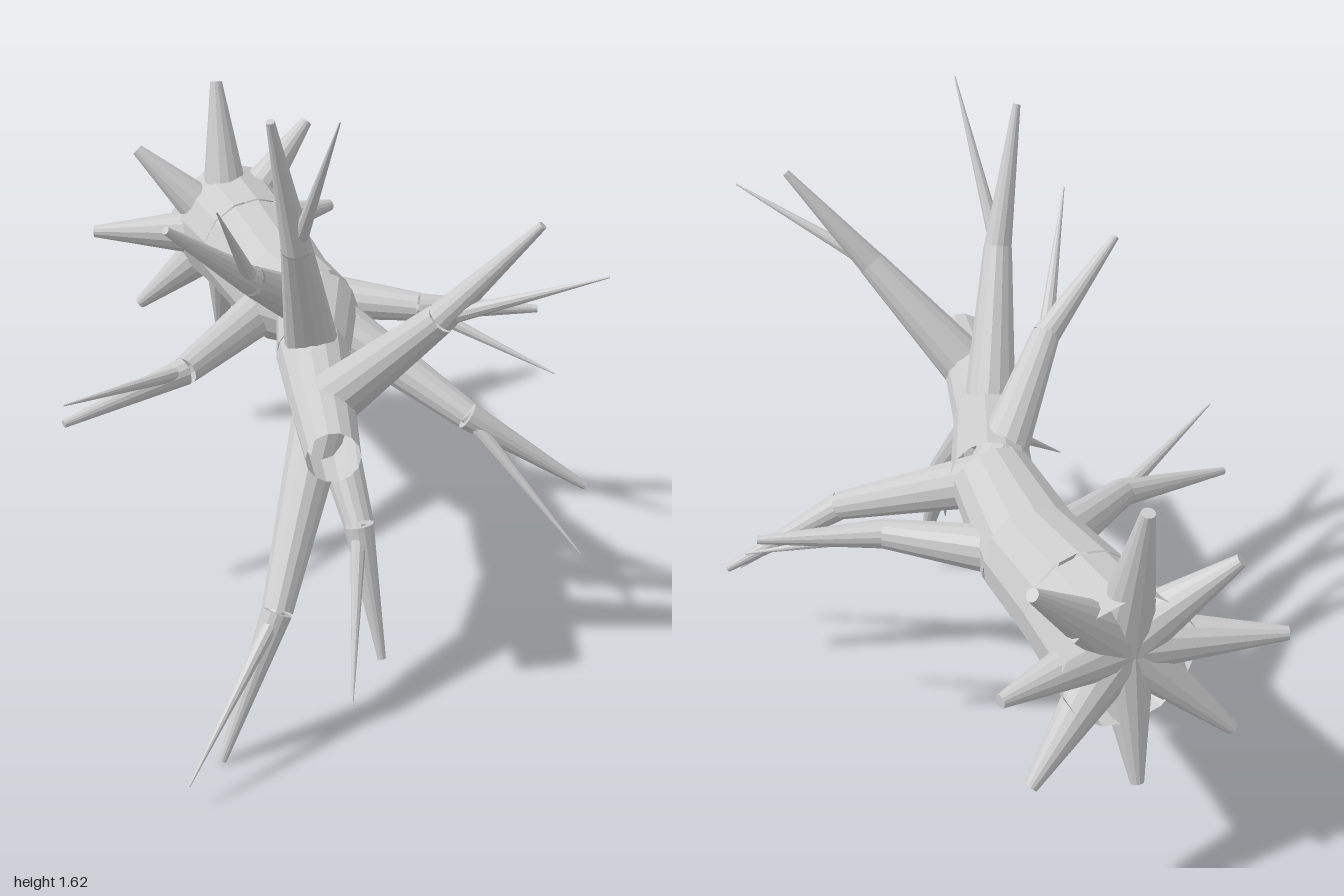
import * as THREE from 'three';

const V = (p) => new THREE.Vector3(...p);

export function createModel() {
  const group = new THREE.Group();
  const bark = new THREE.MeshStandardMaterial({ color: 0xcccccc, flatShading: true, side: THREE.DoubleSide });
  bark.name = 'pale grey bark';

  // straight tapered piece between two points
  function limb(name, a, b, r0, r1, sides, open) {
    const from = V(a), to = V(b);
    const dir = to.clone().sub(from);
    const mesh = new THREE.Mesh(new THREE.CylinderGeometry(r1, r0, dir.length(), sides, 1, open), bark);
    mesh.position.copy(from).add(to).multiplyScalar(0.5);
    mesh.quaternion.setFromUnitVectors(new THREE.Vector3(0, 1, 0), dir.normalize());
    mesh.name = name;
    group.add(mesh);
  }

  // trunk: hollow straight segments that crack open at the bends
  const trunk = [
    [0.02, 0.73, -0.955, 0.187],
    [0.037, 0.73, -0.7, 0.165],
    [0.053, 0.71, -0.41, 0.149],
    [0.06, 0.78, -0.12, 0.115],
    [-0.04, 0.78, 0.17, 0.1],
    [-0.1, 0.77, 0.45, 0.085],
    [-0.153, 0.76, 0.71, 0.07],
  ];
  for (let i = 0; i < trunk.length - 1; i++) {
    const [a, b] = [trunk[i], trunk[i + 1]];
    limb('trunkSegment', a.slice(0, 3), b.slice(0, 3), a[3], b[3], 14, true);
  }

  // branches: trunk joint, fork, thick tip, thin tip
  const branches = [
    [2, [-0.33, 0.64, -0.115], [-0.695, 0.575, -0.02], [-0.72, 0.71, 0.135]],
    [2, [0.39, 0.715, -0.18], [0.715, 0.71, -0.08], [0.715, 0.57, 0.07]],
    [3, [-0.21, 1.02, 0.17], [-0.463, 1.235, 0.275], [-0.37, 1.335, 0.435]],
    [3, [0.39, 0.56, 0.225], [0.705, 0.347, 0.338], [0.63, 0.23, 0.495]],
    [4, [-0.155, 1.2, 0.4], [-0.25, 1.58, 0.5], [-0.125, 1.62, 0.66]],
    [4, [-0.015, 0.43, 0.5], [0.015, 0.08, 0.615], [-0.12, 0.065, 0.78]],
    [5, [0.14, 1.08, 0.66], [0.35, 1.35, 0.78], [0.46, 1.265, 0.937]],
    [5, [-0.31, 0.36, 0.74], [-0.485, 0.008, 0.837], [-0.61, 0.07, 1.0]],
  ];
  for (const [joint, fork, thick, thin] of branches) {
    limb('branch', trunk[joint].slice(0, 3), fork, 0.077, 0.041, 14, true);
    limb('branchTip', fork, thick, 0.04, 0.011, 14, false);
    limb('twig', fork, thin, 0.023, 0.002, 10, false);
  }

  // star of roots around the lower end
  const lengths = [0.37, 0.41, 0.45, 0.36, 0.4, 0.37, 0.36, 0.41];
  lengths.forEach((l, i) => {
    const t = (i * Math.PI) / 4;
    limb('root', [0, 0.73, -0.86], [l * Math.cos(t), 0.73 + l * Math.sin(t), -0.983], 0.087, 0.018, 14, false);
  });
  return group;
}
